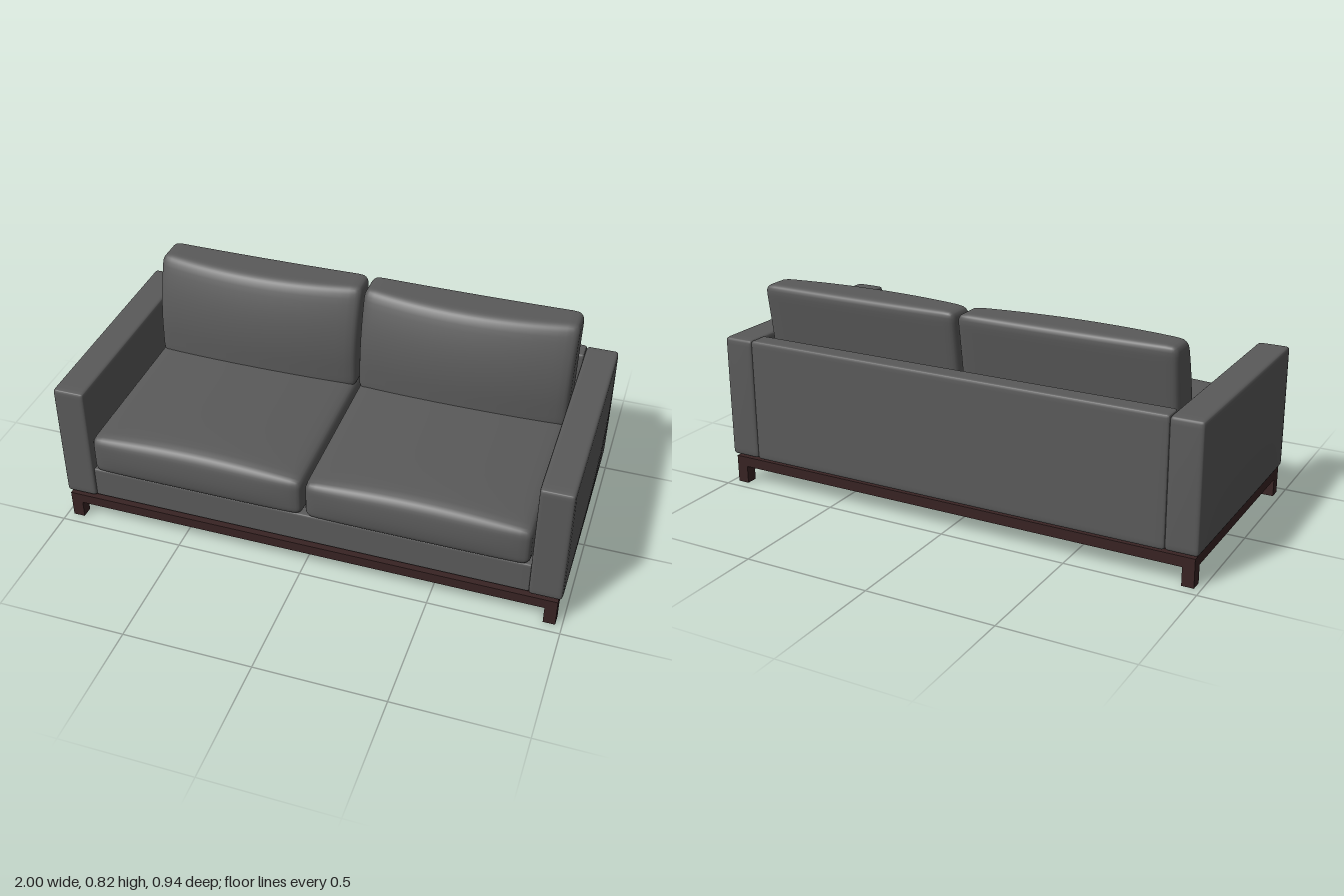
import * as THREE from 'three';
import { mergeVertices } from 'three/addons/utils/BufferGeometryUtils.js';

const fabric = new THREE.MeshStandardMaterial({ color: 0x5a5a5a });
fabric.name = 'grey fabric';
const wood = new THREE.MeshStandardMaterial({ color: 0x382323 });
wood.name = 'dark wood';

// Smooth rounded block spanning min..max; warp(p, u, v, w) reshapes it, u v w running -1..1
function softBlock(name, min, max, radius, warp) {
  const geo = new THREE.BoxGeometry(2, 2, 2, 20, 20, 20);
  geo.deleteAttribute('uv');
  geo.deleteAttribute('normal');
  const lo = new THREE.Vector3(...min), hi = new THREE.Vector3(...max);
  const half = hi.clone().sub(lo).multiplyScalar(0.5);
  const mid = hi.clone().add(lo).multiplyScalar(0.5);
  const inner = half.clone().subScalar(radius);
  const outer = inner.clone().negate();
  const pos = geo.attributes.position;
  const p = new THREE.Vector3(), core = new THREE.Vector3();
  const spread = (t) => Math.sin((t * Math.PI) / 2); // crowds the grid at the edges
  for (let i = 0; i < pos.count; i++) {
    p.set(spread(pos.getX(i)), spread(pos.getY(i)), spread(pos.getZ(i))).multiply(half);
    core.copy(p).clamp(outer, inner);
    p.sub(core).setLength(radius).add(core);
    const u = p.x / half.x, v = p.y / half.y, w = p.z / half.z;
    p.add(mid);
    if (warp) warp(p, u, v, w);
    pos.setXYZ(i, p.x, p.y, p.z);
  }
  const merged = mergeVertices(geo, 1e-5);
  merged.computeVertexNormals();
  const mesh = new THREE.Mesh(merged, fabric);
  mesh.name = name;
  return mesh;
}

function woodBox(name, w, h, d, x, y, z) {
  const mesh = new THREE.Mesh(new THREE.BoxGeometry(w, h, d), wood);
  mesh.name = name;
  mesh.position.set(x, y, z);
  return mesh;
}

const dome = (a, b) => (1 - a * a) * (1 - b * b);

export function createModel() {
  const sofa = new THREE.Group();
  sofa.name = 'sofa';

  // Upholstered body
  sofa.add(softBlock('seatBase', [-0.868, 0.12, -0.42], [0.868, 0.25, 0.448], 0.008));
  sofa.add(softBlock('backrest', [-0.864, 0.12, -0.47], [0.864, 0.612, -0.388], 0.012));

  for (const side of [-1, 1]) {
    const label = side > 0 ? 'left' : 'right';
    const span = (a, b) => (side > 0 ? [a, b] : [-b, -a]);

    // Arm, its outer face slightly padded
    const [a0, a1] = span(0.862, 0.988);
    sofa.add(softBlock(label + 'Arm', [a0, 0.12, -0.468], [a1, 0.61, 0.459], 0.014, (p, u, v, w) => {
      if (u * side > 0) p.x += side * 0.012 * dome(v, w) * u * side;
      if (w < 0) p.z += 0.004 * w * dome(u, v);
    }));

    // Seat cushion, crowned on top and puffed at the front
    const [s0, s1] = span(0.004, 0.858);
    sofa.add(softBlock(label + 'SeatCushion', [s0, 0.242, -0.385], [s1, 0.408, 0.458], 0.035, (p, u, v, w) => {
      if (v > 0) p.y += 0.03 * v * (1 - u * u) * (1 - w ** 6 * 0.35);
      if (w > 0) p.z += 0.014 * w * dome(u ** 2, v);
    }));

    // Back cushion, leaning back with a rounded front
    const [b0, b1] = span(0.005, 0.85);
    sofa.add(softBlock(label + 'BackCushion', [b0, 0.385, -0.38], [b1, 0.82, -0.2], 0.035, (p, u, v, w) => {
      const rear = -0.36 - 0.14 * (p.y - 0.61);
      const lean = Math.max(0, (p.y - 0.5) / 0.32);
      const front = -0.195 - 0.07 * lean * lean + 0.05 * (1 - u * u);
      p.z = rear + ((w + 1) / 2) * (front - rear);
    }));

    // Wooden side rail and legs
    sofa.add(woodBox(label + 'Rail', 0.046, 0.04, 0.92, side * 0.952, 0.091, 0));
    for (const end of [-1, 1]) {
      sofa.add(woodBox(label + (end > 0 ? 'FrontLeg' : 'BackLeg'),
        0.046, 0.111, 0.046, side * 0.952, 0.0555, end * 0.437));
    }
  }

  // Long rails and the recessed spacer under the body
  for (const end of [-1, 1]) {
    const label = end > 0 ? 'front' : 'back';
    sofa.add(woodBox(label + 'Rail', 1.86, 0.04, 0.046, 0, 0.091, end * 0.437));
    sofa.add(woodBox(label + 'Spacer', 1.88, 0.02, 0.02, 0, 0.115, end * 0.424));
    sofa.add(woodBox(label + 'SideSpacer', 0.02, 0.02, 0.86, end * 0.94, 0.115, 0));
  }

  // Fabric panel closing the underside
  const panel = new THREE.Mesh(new THREE.BoxGeometry(1.87, 0.012, 0.84), fabric);
  panel.name = 'undersidePanel';
  panel.position.y = 0.117;
  sofa.add(panel);

  return sofa;
}
